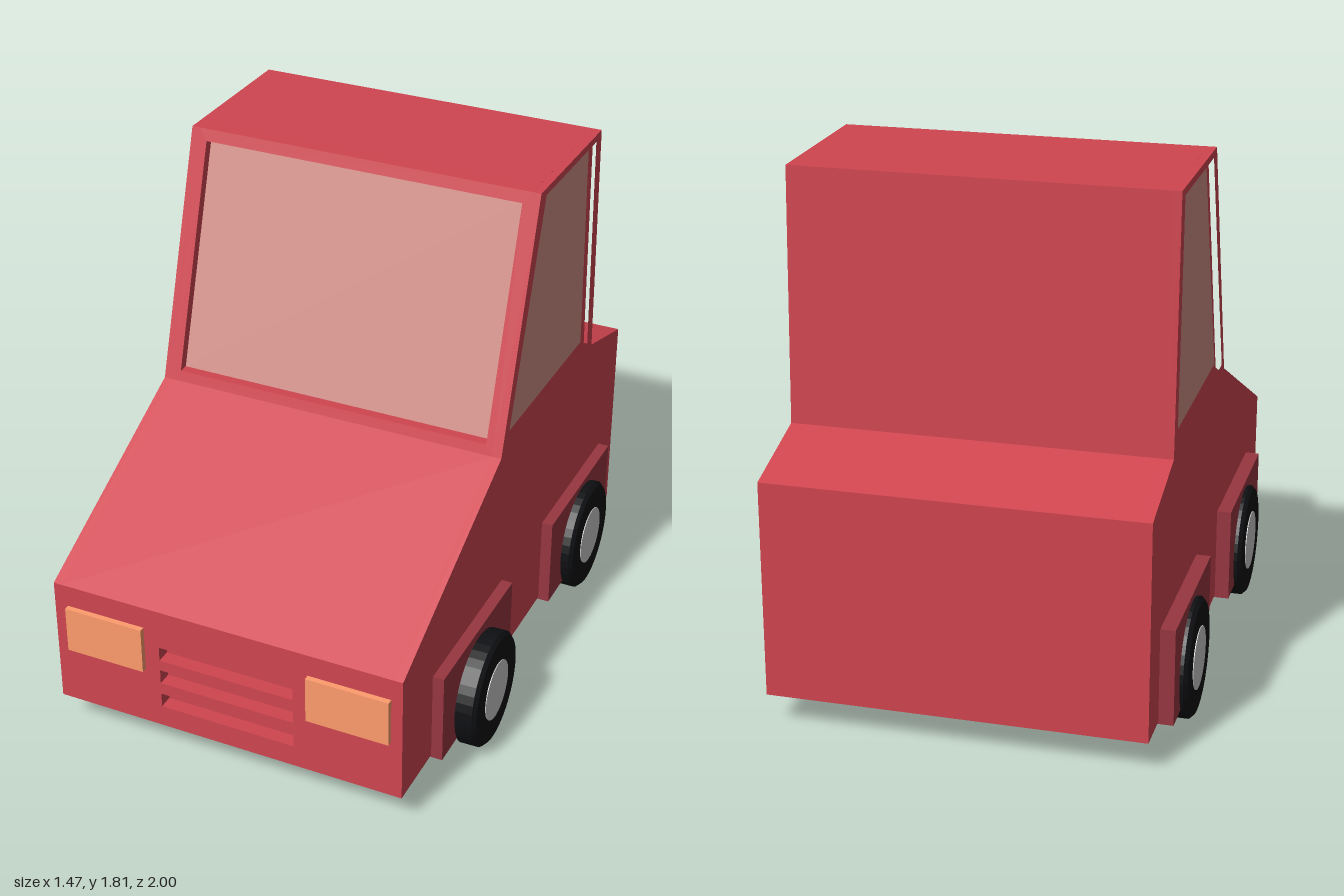
import * as THREE from 'three';

const mat = (color) => new THREE.MeshStandardMaterial({ color, flatShading: true });
const red = mat(0xd04550), darkRed = mat(0x983640), glass = mat(0xd29088);
const amber = mat(0xff9c6e), rubber = mat(0x101114);
const grey = new THREE.MeshStandardMaterial({ color: 0xcccccc });
const CX = -0.02; // centre line of the body
const LEFT = 0.62, RIGHT = -0.66, WALL = 0.03;

const outline = (Type, pts) => new Type(pts.map(([x, y]) => new THREE.Vector2(x, y)));
const rect = (x0, y0, x1, y1) => [[x0, y0], [x1, y0], [x1, y1], [x0, y1]];

function extrude(pts, depth, holes = []) {
  const shape = outline(THREE.Shape, pts);
  shape.holes = holes.map((h) => outline(THREE.Path, h));
  return new THREE.ExtrudeGeometry(shape, { depth, bevelEnabled: false });
}

// Side profile given as [z, y], extruded from x0 to x1
function extrudeSide(pts, x0, x1, holes = []) {
  const flip = (list) => list.map(([z, y]) => [-z, y]);
  return extrude(flip(pts), x1 - x0, holes.map(flip)).rotateY(Math.PI / 2).translate(x0, 0, 0);
}

export function createModel() {
  const group = new THREE.Group();
  const add = (name, geometry, material, parent = group) => {
    const mesh = new THREE.Mesh(geometry, material);
    mesh.name = name;
    parent.add(mesh);
    return mesh;
  };
  const box = (name, x0, x1, y0, y1, z0, z1, material) =>
    add(name, new THREE.BoxGeometry(x1 - x0, y1 - y0, z1 - z0), material)
      .position.set((x0 + x1) / 2, (y0 + y1) / 2, (z0 + z1) / 2);

  // Body core, set back behind the windscreen and the grille
  const rear = [[-0.655, 1.81], [-0.69, 0.95], [-1, 0.86], [-1, 0.11]];
  const core = [[0.93, 0.11], [0.93, 0.55], [0.98, 0.55], [0.98, 0.58], [0.19, 0.96],
    [0.15, 0.96], [-0.12, 1.815], ...rear];
  add('bodyCore', extrudeSide(core, RIGHT + WALL, LEFT - WALL), red);

  // Side walls with window openings and sunken panes
  const profile = [[0.98, 0.11], [0.98, 0.58], [0.19, 0.96], [-0.08, 1.815], ...rear];
  const sideWindow = [[0.14, 0.99], [-0.13, 1.79], [-0.605, 1.785], [-0.64, 0.98]];
  add('leftWall', extrudeSide(profile, LEFT - WALL, LEFT, [sideWindow]), red);
  add('rightWall', extrudeSide(profile, RIGHT, RIGHT + WALL, [sideWindow]), red);
  add('leftWindow', extrudeSide(sideWindow, LEFT - WALL - 0.01, LEFT - WALL + 0.004), glass);
  add('rightWindow', extrudeSide(sideWindow, RIGHT + WALL - 0.004, RIGHT + WALL + 0.01), glass);

  // Windscreen frame and pane, leaned back by a shear
  const lean = (geometry, z) => geometry.applyMatrix4(new THREE.Matrix4().set(
    1, 0, 0, 0,
    0, 1, 0, 0.96,
    0, -0.27 / 0.855, 1, z,
    0, 0, 0, 1));
  const screen = rect(-0.6, 0.035, 0.56, 0.815);
  add('windscreenFrame', lean(extrude(rect(RIGHT + WALL, 0, LEFT - WALL, 0.855), 0.04, [screen]), 0.15), red);
  add('windscreen', lean(extrude(screen, 0.014), 0.14), glass);

  // Grille panel with three slots
  const slots = [0.19, 0.288, 0.382].map((y) => rect(-0.265, y, 0.23, y + 0.053));
  add('grillePanel', extrude(rect(RIGHT + WALL, 0.11, LEFT - WALL, 0.55), 0.05, slots).translate(0, 0, 0.93), red);

  // Headlights
  box('rightHeadlight', -0.61, -0.32, 0.33, 0.5, 0.96, 1, amber);
  box('leftHeadlight', 0.285, 0.58, 0.33, 0.5, 0.96, 1, amber);

  // Wheel arch blocks running across the body
  box('frontArches', -0.71, 0.66, 0.102, 0.437, 0.14, 0.74, darkRed);
  box('rearArches', -0.71, 0.66, 0.102, 0.437, -0.85, -0.25, darkRed);

  // Wheels: slightly rounded tyre with a flush hub; local +y is the outer face
  const tyre = new THREE.LatheGeometry(
    [[0, -0.043], [0.19, -0.043], [0.203, -0.03], [0.203, 0.03], [0.19, 0.043], [0, 0.043]]
      .map(([r, y]) => new THREE.Vector2(r, y)), 40);
  const hub = new THREE.CylinderGeometry(0.107, 0.107, 0.02, 32).translate(0, 0.036, 0);
  const wheels = [
    ['frontLeftWheel', 0.685, 0.204, 0.437, 0.025],
    ['rearLeftWheel', 0.657, 0.215, -0.565, 0.015],
    ['frontRightWheel', -0.692, 0.21, 0.437, 0],
    ['rearRightWheel', -0.692, 0.21, -0.565, 0],
  ];
  for (const [name, x, y, z, yaw] of wheels) {
    const wheel = new THREE.Group();
    wheel.name = name;
    add('tyre', tyre, rubber, wheel);
    add('hub', hub, grey, wheel);
    wheel.position.set(x, y, z);
    wheel.rotation.set(0, yaw, x > CX ? -Math.PI / 2 : Math.PI / 2, 'YXZ');
    group.add(wheel);
  }
  return group;
}
